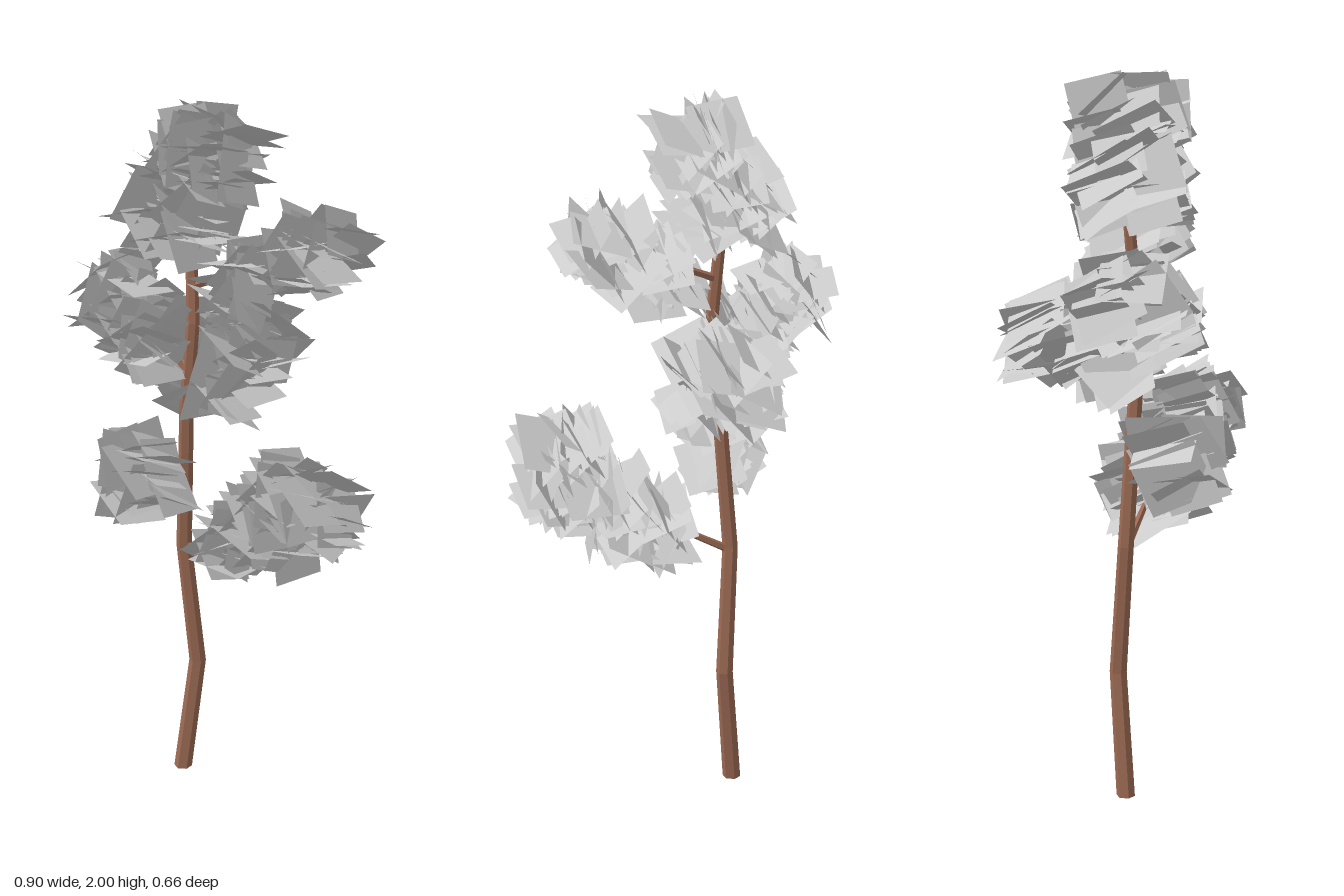
import * as THREE from 'three';
import { mergeGeometries } from 'three/addons/utils/BufferGeometryUtils.js';

const V = (a) => new THREE.Vector3(...a);
const bark = new THREE.MeshStandardMaterial({ color: 0x9b6a53, flatShading: true });
const leaf = new THREE.MeshStandardMaterial({ color: 0xcccccc, side: THREE.DoubleSide });

// Small seeded generator, returns values in -1..1
let seed = 7;
function rnd() {
  seed = (seed * 1664525 + 1013904223) % 4294967296;
  return (seed / 4294967296) * 2 - 1;
}

// Tapered limb: the rings of a cylinder are moved onto the given points
function limb(name, points, r0, r1, sides = 6) {
  const n = points.length - 1;
  const pts = points.map(V);
  const geo = new THREE.CylinderGeometry(1, 1, 1, sides, n);
  const up = new THREE.Vector3(0, 1, 0);
  const frames = pts.map((p, i) => {
    const dir = pts[Math.min(i + 1, n)].clone().sub(pts[Math.max(i - 1, 0)]).normalize();
    if (i === 0 && p.y === 0) dir.copy(up);
    return new THREE.Quaternion().setFromUnitVectors(up, dir);
  });
  const pos = geo.attributes.position;
  const v = new THREE.Vector3();
  for (let k = 0; k < pos.count; k++) {
    v.fromBufferAttribute(pos, k);
    const i = Math.round((v.y + 0.5) * n);
    v.y = 0;
    v.multiplyScalar(r0 + (r1 - r0) * i / n).applyQuaternion(frames[i]).add(pts[i]);
    pos.setXYZ(k, v.x, v.y, v.z);
  }
  geo.computeVertexNormals();
  const mesh = new THREE.Mesh(geo, bark);
  mesh.name = name;
  return mesh;
}

// Clump of square leaf cards, each kept inside the box lo..hi
function foliage(name, lo, hi, count) {
  const box = new THREE.Box3(V(lo), V(hi));
  const c = box.getCenter(new THREE.Vector3());
  const half = box.getSize(new THREE.Vector3()).multiplyScalar(0.5).subScalar(0.05);
  const cards = [];
  for (let i = 0; i < count; i++) {
    const size = 0.155 + 0.025 * rnd();
    const g = new THREE.PlaneGeometry(size, size * (1.05 + 0.1 * rnd()));
    // one edge runs along z, the card is spun freely around it,
    // then its rear end is tipped down
    g.rotateX(-Math.PI / 2);
    g.rotateY(0.2 * rnd());
    g.rotateX(0.15 * rnd());
    g.rotateZ(Math.PI * rnd());
    g.rotateX(-0.38 + 0.22 * rnd());
    g.rotateY(0.22 * rnd());
    const d = new THREE.Vector3(rnd(), rnd(), rnd());
    if (d.length() > 1) d.normalize();
    g.translate(c.x + d.x * half.x, c.y + d.y * half.y, c.z + d.z * half.z);
    // pull the card back inside the clump
    g.computeBoundingBox();
    const b = g.boundingBox;
    const shift = ['x', 'y', 'z'].map((a) =>
      Math.max(0, box.min[a] - b.min[a]) - Math.max(0, b.max[a] - box.max[a]));
    g.translate(...shift);
    cards.push(g);
  }
  const mesh = new THREE.Mesh(mergeGeometries(cards), leaf);
  mesh.name = name;
  return mesh;
}

export function createModel() {
  const tree = new THREE.Group();
  tree.name = 'tree';

  tree.add(limb('trunk', [
    [-0.165, 0, 0.04], [-0.13, 0.35, 0.012], [-0.155, 0.72, 0.038],
    [-0.125, 1.16, 0.06], [-0.105, 1.4, 0.055], [-0.12, 1.6, 0.04], [-0.12, 1.7, 0.04],
  ], 0.026, 0.014));

  // Branches: from the trunk out into the clumps
  [
    ['lowLeftBranch', [-0.155, 0.71, 0.038], [0.0, 0.79, 0.06], [0.27, 0.98, 0.13]],
    ['rearBranch', [-0.125, 1.14, 0.058], [-0.09, 1.21, -0.04], [-0.08, 1.29, -0.16]],
    ['midRightBranch', [-0.118, 1.24, 0.06], [-0.2, 1.36, 0.07], [-0.33, 1.45, 0.08]],
    ['highLeftBranch', [-0.115, 1.5, 0.048], [0.03, 1.56, 0.02], [0.22, 1.62, -0.02]],
  ].forEach(([name, ...pts]) => tree.add(limb(name, pts, 0.012, 0.006, 5)));

  // Foliage clumps: name, low corner, high corner, number of cards
  [
    ['crownTop', [-0.2, 1.73, -0.14], [0.09, 2.0, 0.2], 34],
    ['crownBase', [-0.31, 1.57, -0.11], [0.03, 1.87, 0.22], 36],
    ['highLeftOuter', [0.1, 1.49, -0.2], [0.355, 1.77, 0.13], 28],
    ['highLeftInner', [-0.08, 1.41, -0.13], [0.17, 1.67, 0.18], 24],
    ['midRightOuter', [-0.455, 1.31, -0.09], [-0.2, 1.57, 0.25], 26],
    ['midRightInner', [-0.35, 1.23, -0.07], [-0.08, 1.49, 0.26], 24],
    ['rearInner', [-0.25, 1.09, -0.17], [0.07, 1.4, 0.14], 30],
    ['rearOuter', [-0.21, 1.13, -0.33], [0.05, 1.43, -0.02], 26],
    ['lowRight', [-0.31, 0.83, 0.05], [-0.05, 1.12, 0.33], 24],
    ['lowLeftInner', [-0.05, 0.68, -0.1], [0.25, 0.96, 0.24], 34],
    ['lowLeftMiddle', [0.05, 0.74, -0.06], [0.36, 1.05, 0.28], 30],
    ['lowLeftOuter', [0.17, 0.82, -0.03], [0.45, 1.14, 0.29], 32],
  ].forEach(([name, lo, hi, count]) => tree.add(foliage(name + 'Foliage', lo, hi, count)));

  return tree;
}
